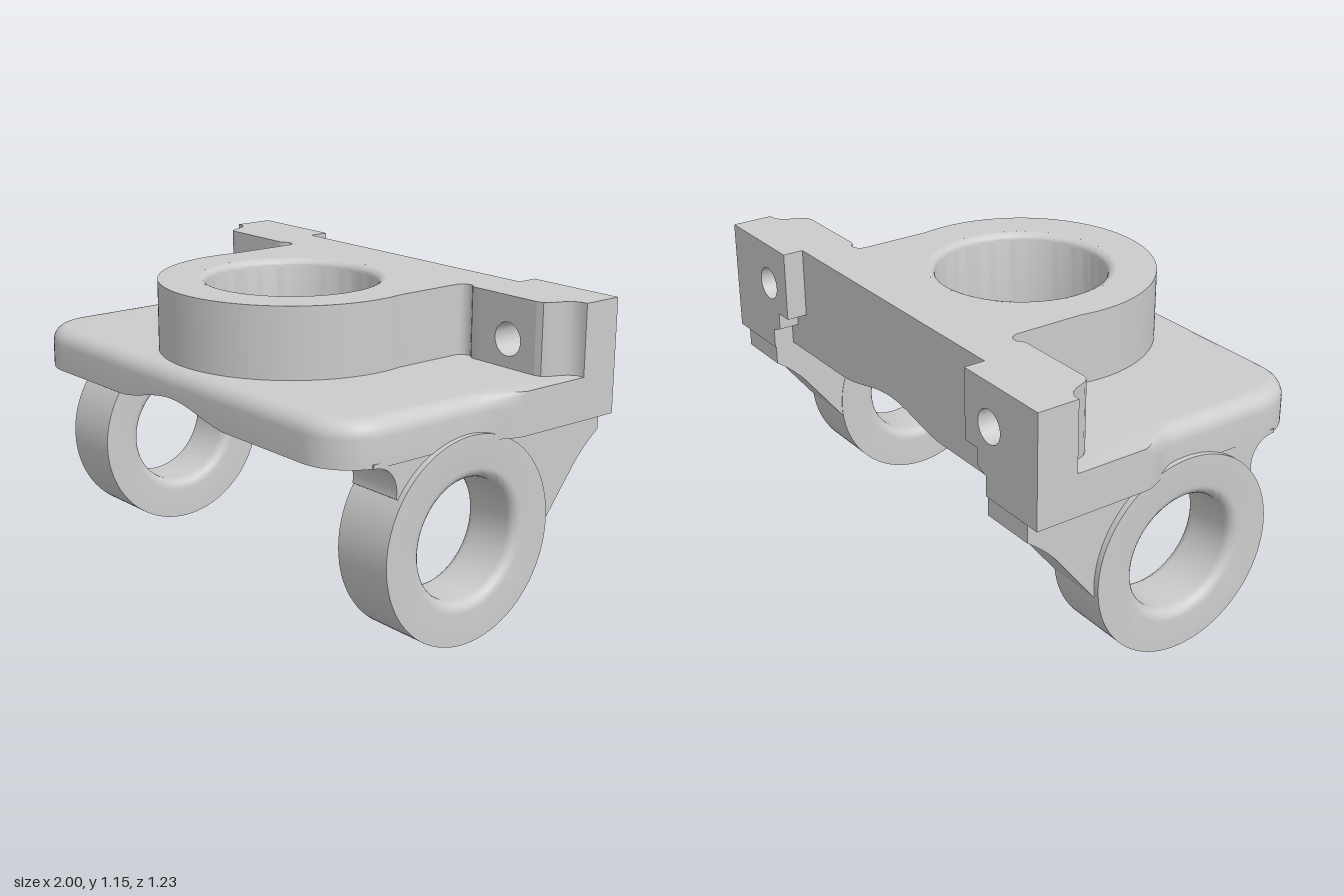
import * as THREE from 'three';
import { toCreasedNormals } from 'three/addons/utils/BufferGeometryUtils.js';

const TOP = 1.15, DECK = 0.885, UNDER = 0.725, BACK = -0.535, REAR = -0.615;
const CZ = 0.05, BORE = 0.32;          // main bore centre (z) and radius
const LUG_Y = 0.383;                   // lug bore height

const arch = (x) => (Math.abs(x) < 0.35 ? UNDER + 0.053 * Math.cos((Math.PI * x) / 0.7) ** 2 : UNDER);

function add(group, name, geometry) {
  const material = new THREE.MeshStandardMaterial({ color: 0xcccccc, side: THREE.DoubleSide });
  const mesh = new THREE.Mesh(toCreasedNormals(geometry, 0.6), material);
  mesh.name = name;
  group.add(mesh);
}

const poly = (points, s = 1) => new THREE.Shape(points.map(([x, y]) => new THREE.Vector2(s * x, y)));

function circleHole(shape, x, y, r) {
  const hole = new THREE.Path();
  hole.absarc(x, y, r, 0, Math.PI * 2, true);
  shape.holes.push(hole);
}

const extrude = (shape, depth) =>
  new THREE.ExtrudeGeometry(shape, { depth, bevelEnabled: false, curveSegments: 64 });
// Shape (x, z) pulled down from yTop
const extrudeY = (shape, yTop, depth) => extrude(shape, depth).rotateX(Math.PI / 2).translate(0, yTop, 0);
// Shape (z, y) pulled towards -x from xTop
const extrudeX = (shape, xTop, depth) => extrude(shape, depth).rotateY(-Math.PI / 2).translate(xTop, 0, 0);

// Half outline of the plate from the front middle round to the back corner
function plateEdge() {
  const edge = [];
  for (let i = 0; i <= 24; i++) edge.push({ x: BORE * Math.sin((i / 24) * Math.PI / 2), z: 0.61, nx: 0, nz: 1 });
  for (let i = 0; i <= 12; i++) {
    const a = (i / 12) * Math.PI / 2;
    edge.push({ x: 0.745 + 0.2 * Math.sin(a), z: 0.41 + 0.2 * Math.cos(a), nx: Math.sin(a), nz: Math.cos(a) });
  }
  for (let i = 0; i <= 10; i++) {
    const t = i / 10;
    edge.push({ x: 0.945 + 0.055 * t * t * (3 - 2 * t), z: 0.0 - 0.17 * t, nx: 1 - t, nz: 0 });
  }
  edge.push({ x: 1, z: BACK, nx: 0, nz: 0 });
  return edge;
}

// Plate with rounded top edge, arched underside and a bore
function plateGeometry() {
  const edge = plateEdge(), pos = [], R = 0.06;
  const quad = (a, b, c, d) => {
    for (const p of [a, b, c, a, c, d]) pos.push(...p);
    for (const p of [a, c, b, a, d, c]) pos.push(-p[0], p[1], p[2]);
  };
  const rings = [edge.map((e) => [e.x, arch(e.x), e.z])];
  for (let k = 0; k <= 6; k++) {
    const a = (k / 6) * Math.PI / 2, inset = R * (1 - Math.cos(a));
    rings.push(edge.map((e) => [e.x - e.nx * inset, DECK - R + R * Math.sin(a), e.z - e.nz * inset]));
  }
  const bore = (x) => Math.sqrt(Math.max(0, BORE * BORE - x * x));
  const cap = (ring, up) => {
    for (let i = 0; i < ring.length - 1; i++) {
      const [p, q] = [ring[i], ring[i + 1]];
      const at = (v, z) => [v[0], v[1], z];
      const strip = (a0, a1, b0, b1) => {
        const c = [at(p, a0), at(q, a1), at(q, b1), at(p, b0)];
        quad(...(up ? c.reverse() : c));
      };
      if (Math.abs(p[0] - q[0]) < 1e-6) continue;
      if (p[0] < BORE - 1e-6) {
        strip(BACK, BACK, CZ - bore(p[0]), CZ - bore(q[0]));
        strip(CZ + bore(p[0]), CZ + bore(q[0]), p[2], q[2]);
      } else strip(BACK, BACK, p[2], q[2]);
    }
  };
  cap(rings[0], false);
  cap(rings[rings.length - 1], true);
  for (let i = 0; i < edge.length - 1; i++) {
    for (let k = 0; k < rings.length - 1; k++) quad(rings[k][i], rings[k][i + 1], rings[k + 1][i + 1], rings[k + 1][i]);
    const [a, b] = [edge[i].x, edge[i + 1].x];
    if (b - a > 1e-6) quad([b, arch(b), BACK], [a, arch(a), BACK], [a, DECK, BACK], [b, DECK, BACK]);
  }
  const g = new THREE.BufferGeometry();
  g.setAttribute('position', new THREE.Float32BufferAttribute(pos, 3));
  return g;
}

// Raised round boss joined to the back wall
function bossGeometry() {
  const s = new THREE.Shape();
  s.moveTo(0.6, BACK);
  s.lineTo(0.6, -0.34);
  s.lineTo(0.57, -0.34);
  s.bezierCurveTo(0.545, -0.34, 0.545, -0.36, 0.525, -0.36);
  s.quadraticCurveTo(0.49, -0.355, 0.49, -0.32);
  s.absarc(0, CZ, 0.5, -0.2, Math.PI + 0.2, false);
  s.lineTo(-0.49, -0.32);
  s.quadraticCurveTo(-0.49, -0.355, -0.525, -0.36);
  s.bezierCurveTo(-0.545, -0.36, -0.545, -0.34, -0.57, -0.34);
  s.lineTo(-0.6, -0.34);
  s.lineTo(-0.6, BACK);
  circleHole(s, 0, CZ, BORE + 0.03);
  return extrudeY(s, TOP, TOP - DECK);
}

// Bore wall with rounded top rim; its foot follows the arch
function boreGeometry() {
  const pts = [];
  for (let i = 0; i <= 6; i++) {
    const a = (i / 6) * Math.PI / 2;
    pts.push(new THREE.Vector2(BORE + 0.03 * (1 - Math.sin(a)), TOP - 0.03 * (1 - Math.cos(a))));
  }
  pts.push(new THREE.Vector2(BORE, UNDER));
  const g = new THREE.LatheGeometry(pts, 96);
  const p = g.attributes.position;
  for (let i = 0; i < p.count; i++) if (p.getY(i) < UNDER + 0.01) p.setY(i, arch(p.getX(i)));
  return g.translate(0, 0, CZ);
}

// Lug ring with rounded bore edges
function ringGeometry(s) {
  const h = 0.1225, r = 0.222, f = 0.04;
  const pts = [[r + f, -h], [0.38, -h], [0.38, h]];
  for (let i = 0; i <= 12; i++) {
    const side = i <= 6 ? 1 : -1, a = ((i <= 6 ? i : 12 - i) / 6) * Math.PI / 2;
    pts.push([r + f * (1 - Math.sin(a)), side * (h - f * (1 - Math.cos(a)))]);
    if (i === 6) pts.push([r, -(h - f)]);
  }
  return new THREE.LatheGeometry(pts.map(([x, y]) => new THREE.Vector2(x, y)), 80)
    .rotateZ(Math.PI / 2).translate(s * 0.8425, LUG_Y, CZ);
}

// Web joining the ring to the plate and back tab
function webGeometry(s) {
  const w = new THREE.Shape();
  w.moveTo(0.47, 0.74);
  w.lineTo(0.47, UNDER);
  w.bezierCurveTo(0.4, 0.725, 0.36, 0.67, 0.37, 0.6);
  w.absarc(CZ, LUG_Y, 0.36, 0.6, -3.03, true);
  w.lineTo(-0.33, 0.34);
  w.lineTo(-0.49, 0.545);
  w.quadraticCurveTo(-0.54, 0.605, REAR + 0.005, 0.653);
  w.lineTo(REAR + 0.005, 0.74);
  circleHole(w, CZ, LUG_Y, 0.3);
  return extrudeX(w, s > 0 ? 0.942 : -0.722, 0.22);
}

export function createModel() {
  const model = new THREE.Group();
  model.name = 'bracket';
  add(model, 'basePlate', plateGeometry());
  add(model, 'boss', bossGeometry());
  add(model, 'mainBore', boreGeometry());

  for (const s of [1, -1]) {
    const side = new THREE.Group();
    side.name = s > 0 ? 'leftSide' : 'rightSide';
    model.add(side);

    // Drilled mounting tab, its stepped outer end and its lower foot
    const tab = poly([[0.6, DECK], [0.87, DECK], [0.87, TOP], [0.6, TOP]], s);
    circleHole(tab, s * 0.737, 0.99, 0.062);
    add(side, 'mountingTab', extrude(tab, 0.275).translate(0, 0, REAR));
    const end = poly([[0.87, REAR], [1, REAR], [1, -0.455], [0.97, -0.453], [0.945, -0.435],
      [0.93, -0.41], [0.913, -0.365], [0.897, -0.346], [0.87, -0.34]], s);
    add(side, 'tabEnd', extrudeY(end, TOP, TOP - DECK));
    const foot = poly([[0.67, DECK], [0.67, 0.82], [0.72, 0.8], [0.72, UNDER], [1, UNDER], [1, DECK]], s);
    add(side, 'tabFoot', extrude(foot, BACK - REAR).translate(0, 0, REAR));

    add(side, 'lugRing', ringGeometry(s));
    add(side, 'lugWeb', webGeometry(s));
  }
  return model;
}
